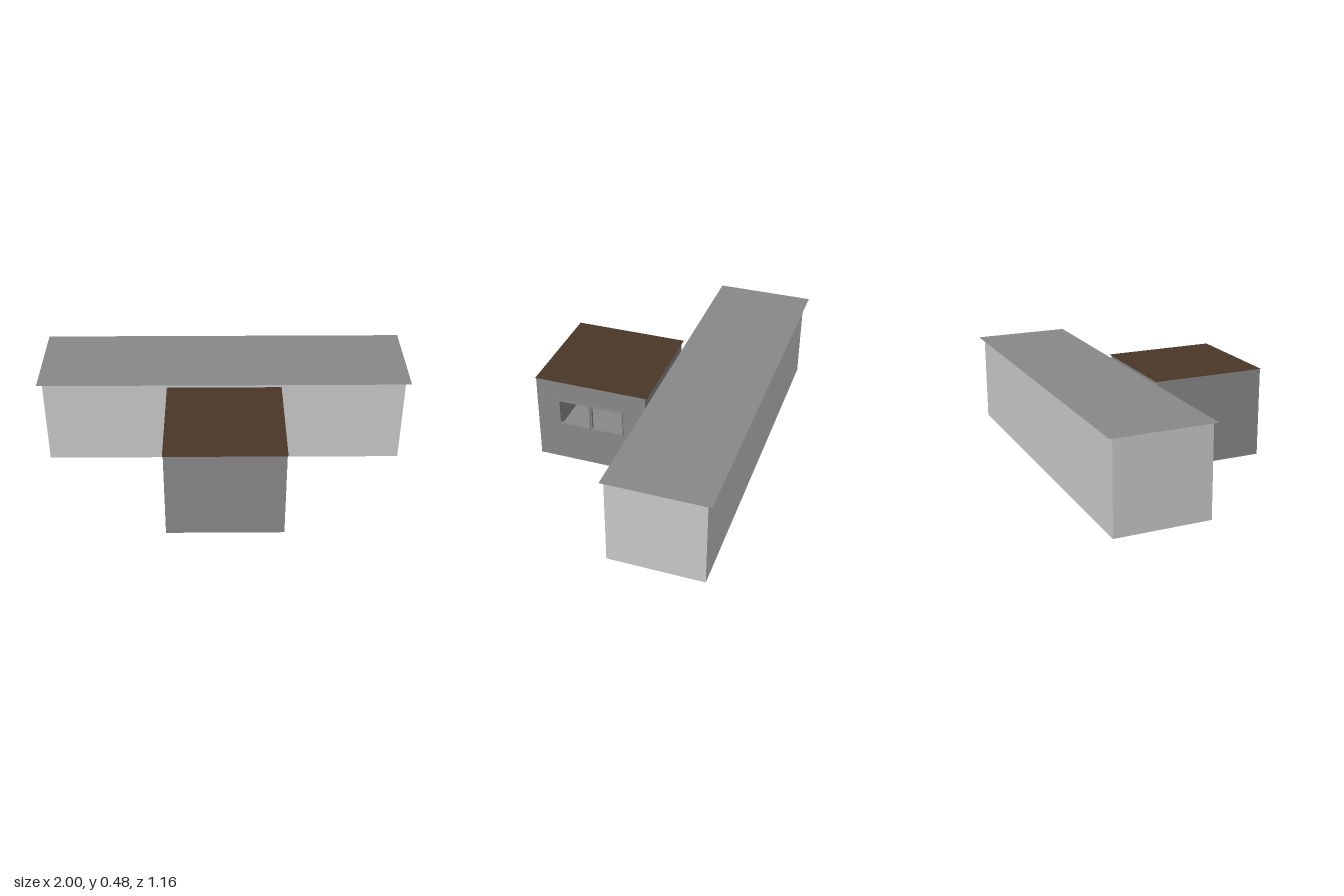
import * as THREE from 'three';

const mat = (name, color) => {
  const m = new THREE.MeshStandardMaterial({ color, side: THREE.DoubleSide });
  m.name = name;
  return m;
};

const H = 0.48;                       // wall height
const DOOR = { x: 0.08, h: 0.41 };    // passage half width and height

const outline = (pts) => pts.map(([x, y]) => new THREE.Vector2(x, y));
const rect = (x0, y0, x1, y1) => outline([[x0, y0], [x1, y0], [x1, y1], [x0, y1]]);

export function createModel() {
  const model = new THREE.Group();
  const lightGrey = mat('lightGreyWall', 0xc8c8c8);
  const grey = mat('midGrey', 0x888888);
  const brown = mat('brownRoof', 0x4a3829);

  // Flat sheet from an outline with optional holes
  function sheet(parent, name, material, pts, holes = []) {
    const shape = new THREE.Shape(pts);
    holes.forEach((h) => shape.holes.push(new THREE.Path(h)));
    const mesh = new THREE.Mesh(new THREE.ShapeGeometry(shape), material);
    mesh.name = name;
    parent.add(mesh);
    return mesh;
  }

  // Upright wall facing z, with an optional doorway notch at its foot
  function wallZ(parent, name, material, x, z, door, back) {
    const notch = door ? [[-DOOR.x, 0], [-DOOR.x, DOOR.h], [DOOR.x, DOOR.h], [DOOR.x, 0]] : [];
    const wall = sheet(parent, name, material, outline([[-x, 0], ...notch, [x, 0], [x, H], [-x, H]]));
    wall.position.z = z;
    if (back) wall.rotation.y = Math.PI;
  }

  // Upright wall facing +x or -x, spanning z0..z1
  function wallX(parent, name, material, x, z0, z1, h = H, holes = []) {
    const s = Math.sign(x);
    const wall = sheet(parent, name, material,
      s > 0 ? rect(-z1, 0, -z0, h) : rect(z0, 0, z1, h), holes);
    wall.rotation.y = s * Math.PI / 2;
    wall.position.x = x;
  }

  // Level sheet at height y, facing up or down
  function level(parent, name, material, x, z0, z1, y, up) {
    const slab = sheet(parent, name, material, up ? rect(-x, -z1, x, -z0) : rect(-x, z0, x, z1));
    slab.rotation.x = up ? -Math.PI / 2 : Math.PI / 2;
    slab.position.y = y;
  }

  const group = (name) => {
    const g = new THREE.Group();
    g.name = name;
    model.add(g);
    return g;
  };

  // Long hall with an overhanging flat roof
  const hall = group('longHall');
  wallZ(hall, 'hallFrontWall', lightGrey, 0.97, -0.065, true, false);
  wallZ(hall, 'hallBackWall', lightGrey, 0.97, -0.56, false, true);
  for (const s of [1, -1]) wallX(hall, 'hallEndWall', lightGrey, s * 0.97, -0.56, -0.065);
  level(hall, 'hallFloor', lightGrey, 0.97, -0.56, -0.065, 0, false);
  level(hall, 'hallRoof', grey, 1, -0.585, -0.055, H + 0.001, true);

  // Small front room with two window openings in its left wall
  const room = group('frontRoom');
  const windows = [[0.097, 0.275], [0.279, 0.455]];
  const [sill, head] = [0.22, 0.37];
  wallZ(room, 'roomFrontWall', grey, 0.3, 0.577, false, false);
  wallZ(room, 'roomBackWall', grey, 0.3, -0.024, true, true);
  wallX(room, 'roomRightWall', grey, -0.3, -0.024, 0.577);
  wallX(room, 'roomLeftWall', grey, 0.3, -0.024, 0.577, H,
    windows.map(([a, b]) => rect(-b, sill, -a, head)));
  level(room, 'roomFloor', grey, 0.3, -0.024, 0.577, 0, false);
  level(room, 'roomRoof', brown, 0.304, -0.035, 0.58, H + 0.001, true);

  // Slim window frames standing just proud of the wall
  const t = 0.006;
  for (const [a, b] of windows) {
    const shape = new THREE.Shape(rect(-b, sill, -a, head));
    shape.holes.push(new THREE.Path(rect(-b + t, sill + t, -a - t, head - t)));
    const frame = new THREE.Mesh(
      new THREE.ExtrudeGeometry(shape, { depth: 0.015, bevelEnabled: false }), grey);
    frame.name = 'windowFrame';
    frame.rotation.y = Math.PI / 2;
    frame.position.x = 0.291;
    room.add(frame);
  }

  // Short open passage joining the room and the hall
  const passage = group('passage');
  for (const s of [1, -1]) wallX(passage, 'passageWall', lightGrey, s * DOOR.x, -0.065, -0.024, DOOR.h);
  level(passage, 'passageRoof', lightGrey, DOOR.x, -0.065, -0.024, DOOR.h, true);
  level(passage, 'passageFloor', lightGrey, DOOR.x, -0.065, -0.024, 0, false);

  return model;
}
